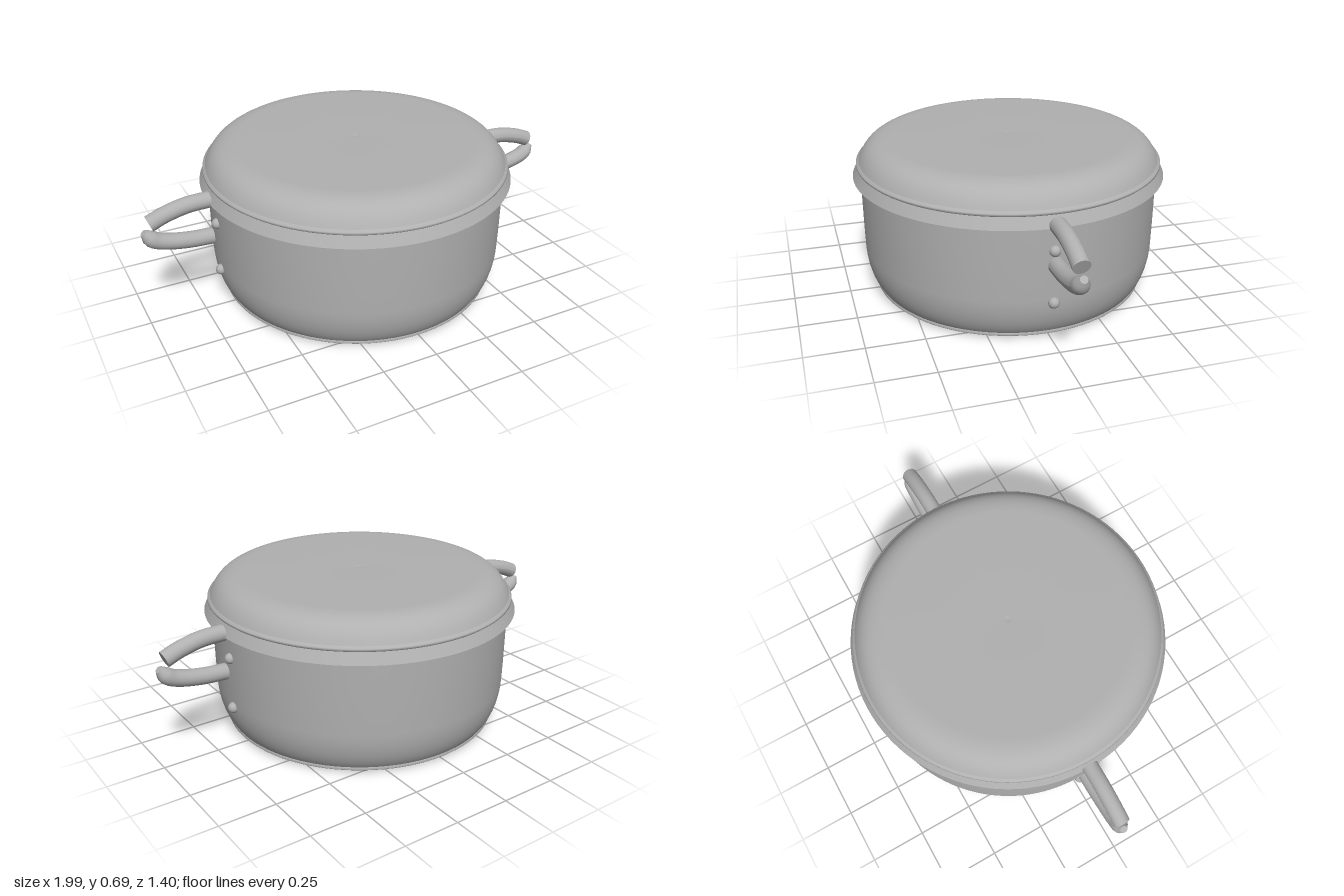
import * as THREE from 'three';

const v2 = pts => pts.map(([x, y]) => new THREE.Vector2(x, y));

export function createModel() {
  const group = new THREE.Group();
  const steel = new THREE.MeshStandardMaterial({ color: 0xb0b0b0, side: THREE.DoubleSide });
  steel.name = 'brushed steel';

  const add = (name, geometry, parent = group) => {
    const mesh = new THREE.Mesh(geometry, steel);
    mesh.name = name;
    parent.add(mesh);
    return mesh;
  };
  const lathe = (name, pts) => add(name, new THREE.LatheGeometry(v2(pts), 96));

  // Pot: flat base, small foot ring and rounded wall
  lathe('potBase', [[0, 0], [0.03, 0.008], [0.612, 0.01]]);
  lathe('footRing', [[0.612, 0.01], [0.618, 0.016], [0.613, 0.025]]);
  const wall = new THREE.CubicBezierCurve(...v2([[0.613, 0.025], [0.64, 0.06], [0.66, 0.12], [0.662, 0.2]]));
  lathe('potWall', [...wall.getPoints(12).map(p => [p.x, p.y]), [0.664, 0.3], [0.665, 0.42], [0.665, 0.535]]);

  // Lid: flared skirt, raised bead, rounded shoulder and nearly flat top
  lathe('lidUnderside', [[0.66, 0.532], [0.699, 0.53]]);
  lathe('lidSkirt', [[0.699, 0.53], [0.688, 0.552], [0.675, 0.578]]);
  lathe('lidBead', [[0.675, 0.578], [0.682, 0.584], [0.681, 0.592], [0.67, 0.6]]);
  const dome = new THREE.CubicBezierCurve(...v2([[0.67, 0.6], [0.64, 0.665], [0.6, 0.69], [0.52, 0.692]]));
  lathe('lidTop', [...dome.getPoints(14).map(p => [p.x, p.y]), [0.3, 0.694], [0.03, 0.695], [0, 0.69]]);

  // Tube arm along a curve in the xy plane, scaled along its length, with closed ends
  const arm = (name, pts, parent, taper) => {
    const curve = new THREE.CatmullRomCurve3(pts.map(([x, y]) => new THREE.Vector3(x, y, 0)));
    const rings = 20, sides = 20, r = 0.036;
    const tube = new THREE.TubeGeometry(curve, rings, r, sides);
    const pos = tube.attributes.position, p = new THREE.Vector3();
    for (let i = 0; i <= rings; i++) {
      const c = curve.getPointAt(i / rings);
      const s = 1 - taper * Math.max(0, (i / rings - 0.88) / 0.12);
      for (let j = 0; j <= sides; j++) {
        const k = i * (sides + 1) + j;
        p.fromBufferAttribute(pos, k).sub(c).multiplyScalar(s).add(c);
        pos.setXYZ(k, p.x, p.y, p.z);
      }
    }
    tube.computeVertexNormals();
    add(name, tube, parent);
    for (const t of [0, 1]) {
      const cap = add(name + 'End', new THREE.CircleGeometry(t ? r * (1 - taper) : r, sides), parent);
      const dir = curve.getTangentAt(t).multiplyScalar(t ? 1 : -1);
      cap.position.copy(curve.getPointAt(t));
      cap.quaternion.setFromUnitVectors(new THREE.Vector3(0, 0, 1), dir);
    }
  };

  // Handle and two rivets on each side
  for (const [side, angle] of [['left', 0], ['right', Math.PI]]) {
    const handle = new THREE.Group();
    handle.name = side + 'Handle';
    handle.rotation.y = angle;
    group.add(handle);
    arm('upperArm', [[0.69, 0.541], [0.79, 0.537], [0.89, 0.514], [0.955, 0.488]], handle, 0);
    arm('lowerArm', [[0.69, 0.364], [0.79, 0.37], [0.89, 0.388], [0.945, 0.41], [0.982, 0.452]], handle, 0.55);
    for (const y of [0.183, 0.416]) {
      add('rivet', new THREE.SphereGeometry(0.024, 20, 14), handle).position.set(0.665, y, 0);
    }
  }
  return group;
}
